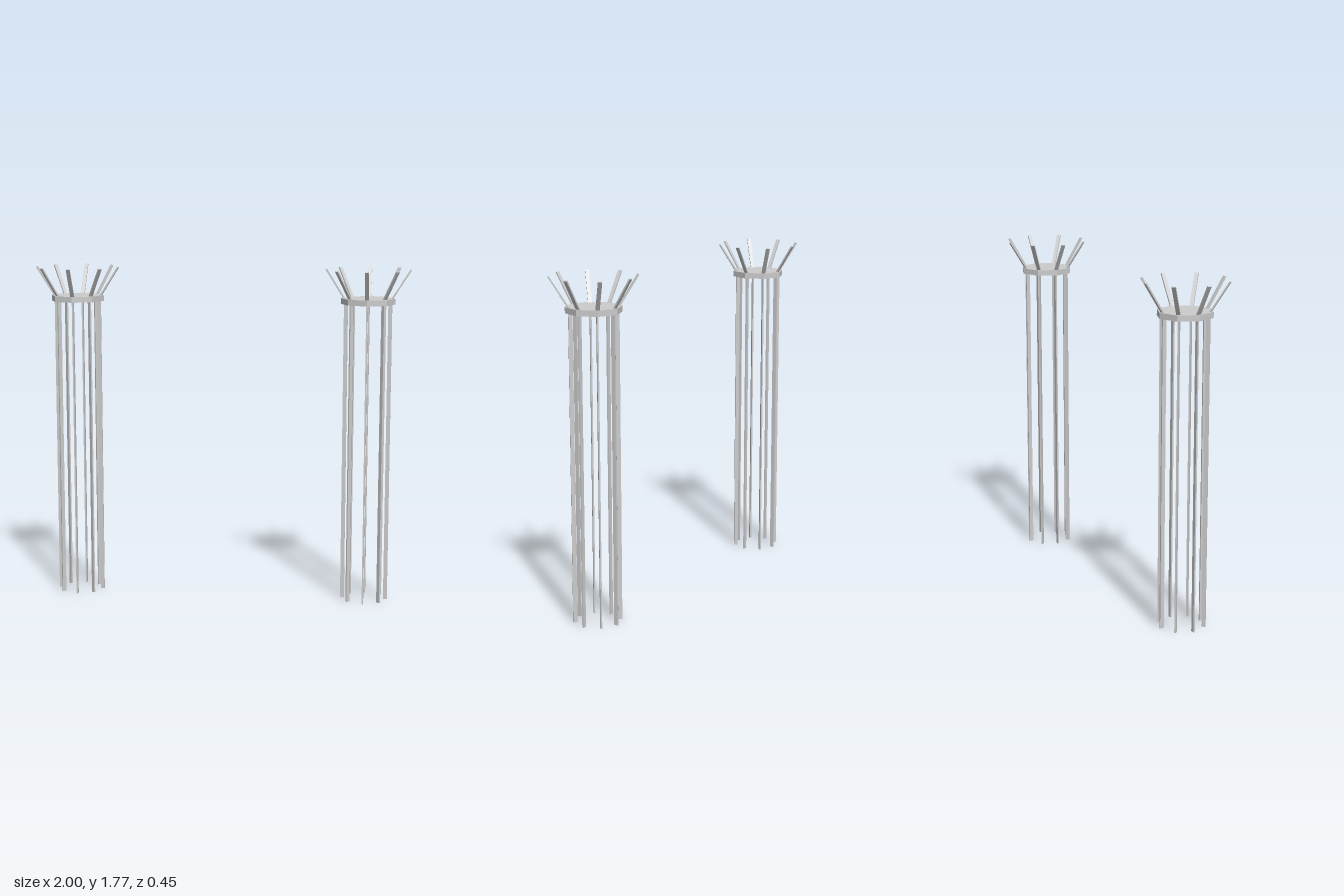
import * as THREE from 'three';

const material = new THREE.MeshStandardMaterial({ color: 0xcccccc, flatShading: true });

function part(name, geometry, parent) {
  const mesh = new THREE.Mesh(geometry, material);
  mesh.name = name;
  parent.add(mesh);
  return mesh;
}

function createStand(name) {
  const stand = new THREE.Group();
  stand.name = name;

  // Octagonal plate with corners on the axes
  part('plate', new THREE.CylinderGeometry(0.142, 0.142, 0.03, 8), stand).position.y = 1.602;

  const postGeometry = new THREE.BoxGeometry(0.008, 1.59, 0.021);
  const foot = new THREE.Vector2(0.12, 1.607); // radius, height
  const tip = new THREE.Vector2(0.221, 1.767);
  const slatGeometry = new THREE.BoxGeometry(0.02, foot.distanceTo(tip), 0.008);

  for (let i = 0; i < 8; i++) {
    const spoke = new THREE.Group();
    spoke.name = 'spoke' + (i + 1);
    spoke.rotation.y = (i * Math.PI) / 4;
    stand.add(spoke);

    // Upright post, edge-on to the centre
    part('post', postGeometry, spoke).position.set(0, 0.795, 0.1155);

    // Slat leaning outwards above the plate
    const slat = part('slat', slatGeometry, spoke);
    slat.position.set(0, (foot.y + tip.y) / 2, (foot.x + tip.x) / 2);
    slat.rotation.x = Math.atan2(tip.x - foot.x, tip.y - foot.y);
  }
  return stand;
}

export function createModel() {
  const model = new THREE.Group();
  model.name = 'pairOfStands';
  for (const side of [-1, 1]) {
    const stand = createStand(side > 0 ? 'leftStand' : 'rightStand');
    stand.position.x = side * 0.775;
    model.add(stand);
  }
  return model;
}
